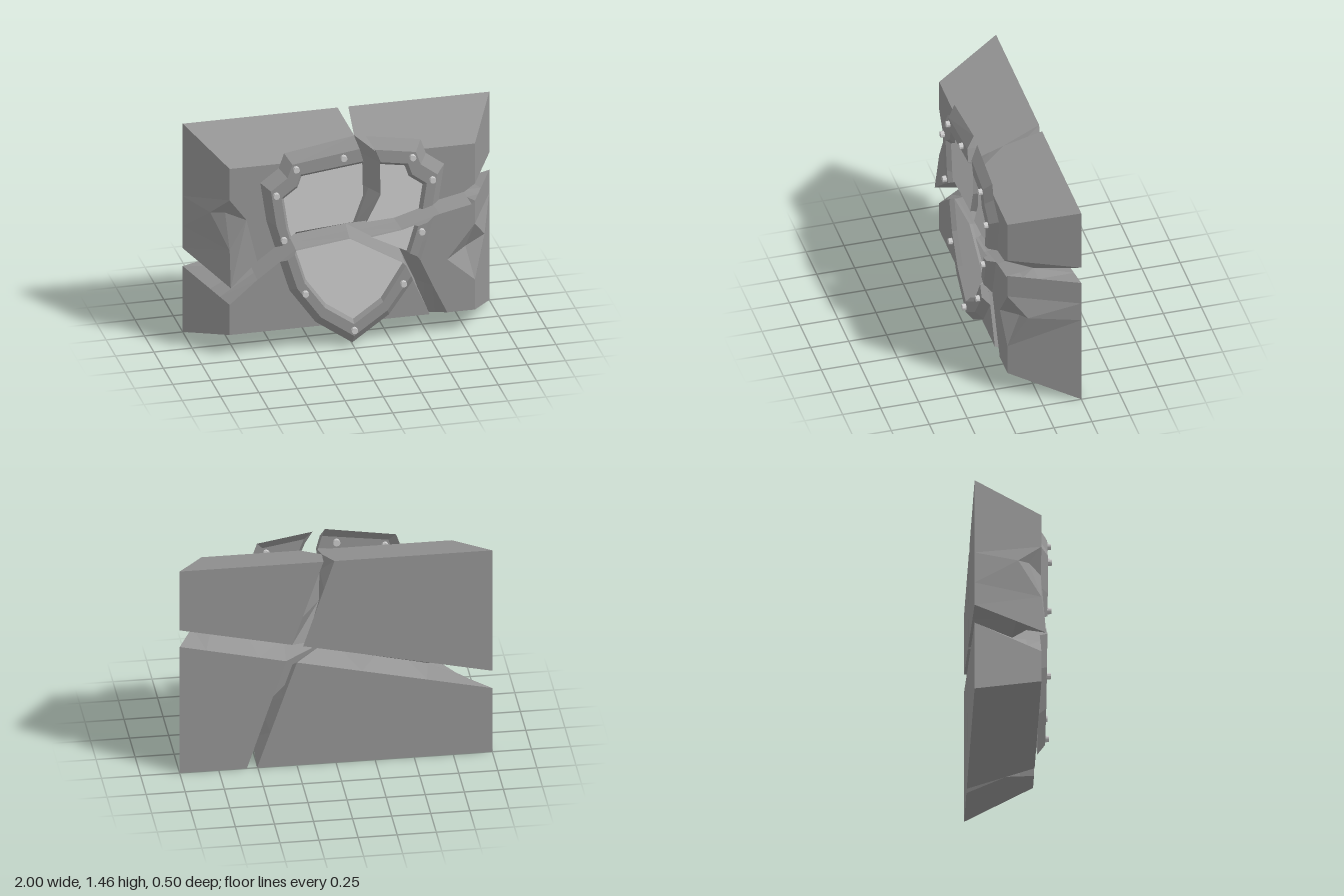
import * as THREE from 'three';

const FRONT = 0.18, BACK = -0.25;
const paint = color => new THREE.MeshStandardMaterial({ color, flatShading: true, side: THREE.DoubleSide });
const dark = paint(0x959595), light = paint(0xcccccc);

const at = (p, z) => [p[0], p[1], p[2] ?? z];
const mix = (a, b, t) => a.map((v, i) => v + (b[i] - v) * t);

// Collects triangles and quads into a flat-shaded mesh
class Faces {
  constructor() { this.positions = []; }
  tri(a, b, c) { this.positions.push(...a, ...b, ...c); }
  quad(a, b, c, d) { this.tri(a, b, c); this.tri(a, c, d); }
  cap(ring, flip = false) {
    const flat = ring.map(p => new THREE.Vector2(p[0], p[1]));
    for (const [a, b, c] of THREE.ShapeUtils.triangulateShape(flat, [])) {
      if (flip) this.tri(ring[a], ring[c], ring[b]);
      else this.tri(ring[a], ring[b], ring[c]);
    }
  }
  mesh(name, material) {
    const geometry = new THREE.BufferGeometry();
    geometry.setAttribute('position', new THREE.Float32BufferAttribute(this.positions, 3));
    geometry.computeVertexNormals();
    const mesh = new THREE.Mesh(geometry, material);
    mesh.name = name;
    return mesh;
  }
}

// Lines inside the cracks where neighbouring stones meet, border to centre
const centre = [0, 0.76];
const cracks = {
  left: { mids: [[-0.62, 0.535], [-0.37, 0.72]] },
  right: { mids: [[0.76, 0.91], [0.55, 0.865], [0.3, 0.79]] },
  top: { mids: [[0.07, 1.26], [0.075, 1.04]], border: [0.055, 1.371] },
  bottom: { mids: [[0.45, 0.32], [0.35, 0.55]], border: [0.505, 0.087] },
};

// One side of a crack: its front edge is the meeting line shifted, its back edge is straight
function crackSide(crack, [dx, dy], front, back, hub) {
  const { mids, border } = cracks[crack];
  const columns = mids.map((m, i) => ({
    front: [m[0] + dx, m[1] + dy], mid: m, back: mix(back, hub.back, (i + 1) / (mids.length + 1)),
  }));
  return [{ front, mid: border, back }, ...columns];
}

// A stone between two cracks, going round from the exit crack over the corner to the entry crack
function stone(name, { entry, exit, hub, corner: [x, y], chip }) {
  const sideX = 0.8 * x;
  const ring = [exit[0], { front: [sideX, y ? 1.31 : 0.15], back: [x, y] }];
  if (chip) {
    const [from, to] = [chip.from, chip.to].map(h => {
      const tip = [sideX, h, FRONT];
      return { front: tip, inside: tip, mid: tip, back: [x, h] };
    });
    ring.push(from, { front: chip.inner, inside: chip.pit, mid: chip.outer, back: [x, chip.outer[1]] }, to);
  }
  ring.push(...entry, { ...hub, mid: centre }, ...exit.slice(1).reverse());
  const columns = ring.map(c => {
    const front = at(c.front, FRONT), back = at(c.back, BACK);
    const mid = c.mid ? at(c.mid, 0) : mix(front, back, 0.42);
    return [front, c.inside ?? mix(front, mid, 0.5), mid, back];
  });
  const faces = new Faces();
  faces.cap(columns.map(c => c[0]));
  faces.cap(columns.map(c => c[3]), true);
  columns.forEach((col, i) => {
    const next = columns[(i + 1) % columns.length];
    for (let k = 0; k < 3; k++) faces.quad(col[k], col[k + 1], next[k + 1], next[k]);
  });
  return faces.mesh(name, dark);
}

// Shield outline, mirrored into a closed loop from the top peak
const half = [[0, 1.455], [-0.445, 1.38], [-0.48, 1.28], [-0.6, 1.19], [-0.56, 0.92],
  [-0.49, 0.68], [-0.41, 0.42], [-0.24, 0.18], [0, 0.01]];
const outline = [...half, ...half.slice(1, -1).reverse().map(([x, y]) => [-x, y])];

// Rim loops: outer foot, outer ridge, inner ridge, field edge
const rimLoops = [[1, FRONT], [0.905, 0.23], [0.79, 0.23], [0.755, 0.2]].map(([scale, z]) =>
  outline.map(([x, y]) => [x * scale, 0.72 + (y - 0.72) * scale, z]));

// First point where a path from the border meets a loop
function meet(path, loop) {
  for (let i = 0; i + 1 < path.length; i++) {
    const p = path[i], q = path[i + 1];
    const dx = q[0] - p[0], dy = q[1] - p[1];
    for (let j = 0; j < loop.length; j++) {
      const a = loop[j], b = loop[(j + 1) % loop.length];
      const ex = b[0] - a[0], ey = b[1] - a[1];
      const det = dx * ey - dy * ex;
      const t = ((a[0] - p[0]) * ey - (a[1] - p[1]) * ex) / det;
      const u = ((a[0] - p[0]) * dy - (a[1] - p[1]) * dx) / det;
      if (t >= 0 && t <= 1 && u >= 0 && u <= 1) {
        return { point: [p[0] + dx * t, p[1] + dy * t, a[2]], inner: path.slice(i + 1, -1) };
      }
    }
  }
}

// A shield fragment: dark rim strips and broken edge, light sunken field
function shieldPiece(place, { entry, exit, hub, stations: [first, last] }) {
  const [start, end] = [exit, entry].map(side => {
    const path = [side[0].back, ...side.map(c => c.front), hub.front];
    return rimLoops.map(loop => meet(path, loop));
  });
  const rim = [start.map(h => h.point)];
  for (let i = first; i <= last; i++) rim.push(rimLoops.map(loop => loop[i]));
  rim.push(end.map(h => h.point));
  const broken = [...end[3].inner, hub.front, ...start[3].inner.reverse()].map(p => [p[0], p[1], 0.2]);

  const faces = new Faces();
  for (let i = 0; i + 1 < rim.length; i++) {
    for (let k = 0; k < 3; k++) faces.quad(rim[i][k], rim[i + 1][k], rim[i + 1][k + 1], rim[i][k + 1]);
  }
  const edge = [...rim[rim.length - 1], ...broken, ...[...rim[0]].reverse()];
  for (let i = 0; i + 1 < edge.length; i++) {
    const a = edge[i], b = edge[i + 1];
    faces.quad(a, [a[0], a[1], FRONT], [b[0], b[1], FRONT], b);
  }
  const field = new Faces();
  field.cap([...rim.map(s => s[3]), ...broken]);
  return [faces.mesh(place + 'Rim', dark), field.mesh(place + 'Field', light)];
}

// A quarter of the block with its shield fragment
function quarter(place, spec) {
  const group = new THREE.Group();
  group.name = place + 'Quarter';
  group.add(stone(place + 'Stone', spec), ...shieldPiece(place, spec));
  return group;
}

function upperRight() {
  const hub = { front: [0, 0.86], back: [0.21, 0.855] };
  return quarter('upperRight', {
    hub, corner: [-1, 1.455], stations: [1, 4],
    entry: crackSide('left', [0, 0.11], [-0.8, 0.49, 0.21], [-1, 0.585], hub),
    exit: crackSide('top', [-0.01, 0], [0.06, 1.31], [0.01, 1.455], hub),
    chip: { from: 1.09, to: 0.74, inner: [-0.69, 0.94], outer: [-0.89, 0.95, 0.03], pit: [-0.81, 0.97, 0.1] },
  });
}

function upperLeft() {
  const hub = { front: [0.09, 0.85], back: [0.28, 0.87] };
  return quarter('upperLeft', {
    hub, corner: [1, 1.455], stations: [13, 15],
    entry: crackSide('top', [0.105, -0.01], [0.17, 1.31], [0.08, 1.455], hub),
    exit: crackSide('right', [-0.03, 0.07], [0.8, 1.03], [1, 1.03], hub),
  });
}

function lowerRight() {
  const hub = { front: [-0.02, 0.745], back: [0.25, 0.74] };
  return quarter('lowerRight', {
    hub, corner: [-1, 0], stations: [6, 9],
    entry: crackSide('bottom', [-0.01, -0.02], [0.505, 0.15], [0.505, 0], hub),
    exit: crackSide('left', [0, -0.02], [-0.8, 0.36], [-1, 0.46], hub),
  });
}

function lowerLeft() {
  const hub = { front: [0.12, 0.74], back: [0.32, 0.755] };
  return quarter('lowerLeft', {
    hub, corner: [1, 0], stations: [11, 11],
    entry: crackSide('right', [0.02, -0.022], [0.8, 0.91], [1, 0.91], hub),
    exit: crackSide('bottom', [0.075, 0.03], [0.62, 0.15], [0.57, 0], hub),
    chip: { from: 0.36, to: 0.75, inner: [0.62, 0.52], outer: [0.89, 0.62, 0.07], pit: [0.76, 0.56, 0.09] },
  });
}

// Rivets along the shield rim
function rivets() {
  const group = new THREE.Group();
  group.name = 'rivets';
  const geometry = new THREE.CylinderGeometry(0.02, 0.023, 0.05, 10).rotateX(Math.PI / 2);
  const pairs = [[0.51, 1.115], [0.38, 1.285], [0.32, 0.41]];
  const singles = [[-0.07, 1.33], [-0.46, 0.8], [0.44, 0.76], [0, 0.12]];
  for (const [x, y] of [...pairs, ...pairs.map(([px, py]) => [-px, py]), ...singles]) {
    const rivet = new THREE.Mesh(geometry, light);
    rivet.name = 'rivet';
    rivet.position.set(x, y, 0.23);
    group.add(rivet);
  }
  return group;
}

export function createModel() {
  const model = new THREE.Group();
  model.name = 'crackedShieldBlock';
  model.add(upperRight(), upperLeft(), lowerRight(), lowerLeft(), rivets());
  return model;
}
